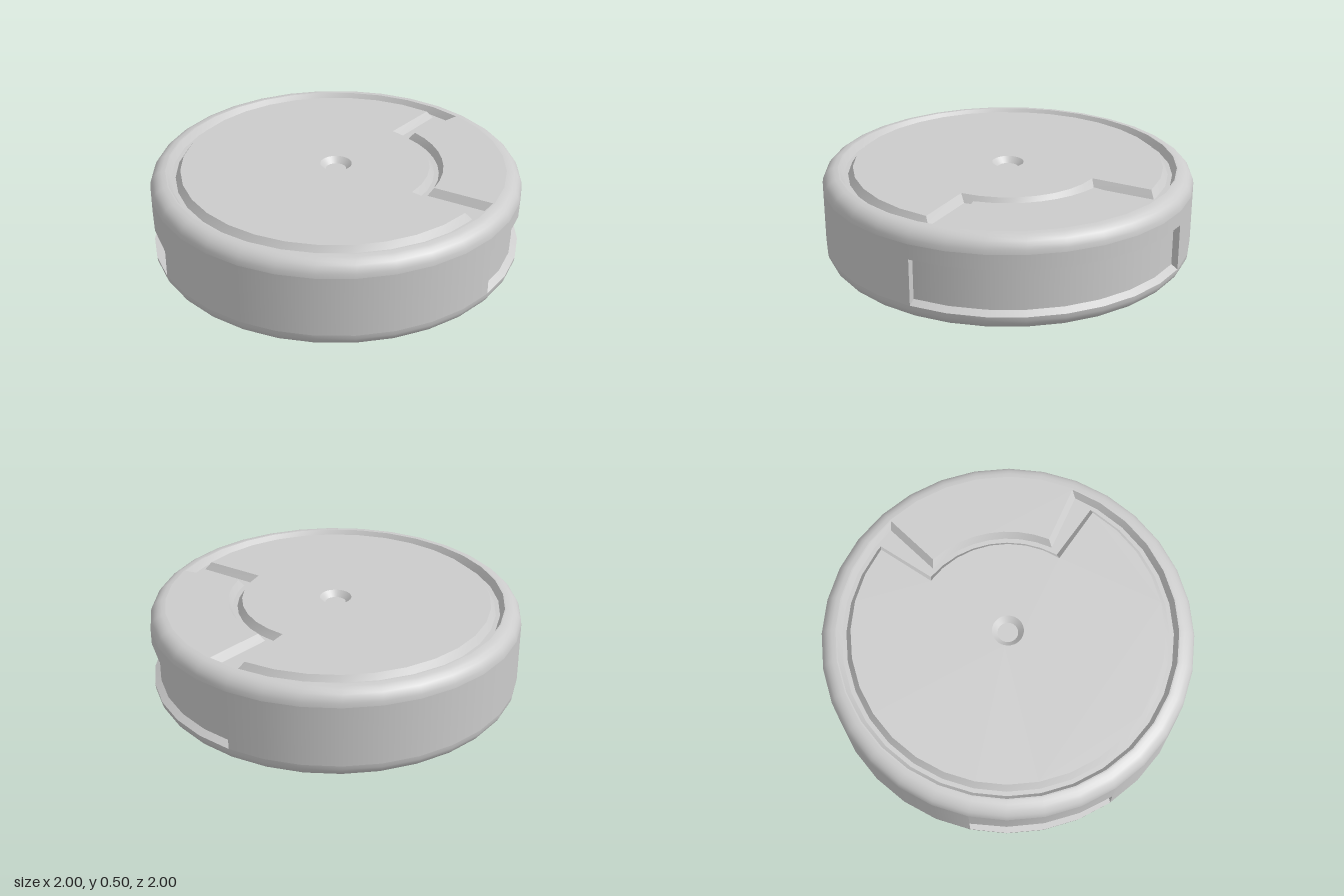
import * as THREE from 'three';
import { toCreasedNormals } from 'three/addons/utils/BufferGeometryUtils.js';

const STEP = Math.PI / 16; // 32-sided disc
const DEG = Math.PI / 180;
const H = 0.5, BEVEL = 0.085, GROOVE = 0.04;
const material = new THREE.MeshStandardMaterial({ color: 0xcccccc, side: THREE.DoubleSide });

export function createModel() {
  const model = new THREE.Group();
  const add = (name, geometry) => {
    const mesh = new THREE.Mesh(geometry, material);
    mesh.name = name;
    model.add(mesh);
  };

  // Turned surface between two angles, measured in steps from +z towards +x
  const turned = (profile, from = 0, to = 32) => new THREE.LatheGeometry(
    profile.map(([r, y]) => new THREE.Vector2(r, y)), to - from, from * STEP, (to - from) * STEP);

  // Surface joining rows of [x, y, z] points
  const sheet = (rows) => {
    const n = rows[0].length, index = [];
    for (let j = 0; j < rows.length - 1; j++) {
      for (let i = 0; i < n - 1; i++) {
        const a = j * n + i, b = a + n;
        index.push(a, a + 1, b, a + 1, b + 1, b);
      }
    }
    const g = new THREE.BufferGeometry();
    g.setAttribute('position', new THREE.Float32BufferAttribute(rows.flat(2), 3));
    g.setIndex(index);
    g.computeVertexNormals();
    return toCreasedNormals(g, 0.4);
  };

  // Horizontal face from [x, z] outlines
  const flat = (outline, holes, y) => {
    const toVec = (pts) => pts.map(([x, z]) => new THREE.Vector2(x, -z));
    const shape = new THREE.Shape(toVec(outline));
    holes.forEach((h) => shape.holes.push(new THREE.Path(toVec(h))));
    return new THREE.ShapeGeometry(shape).rotateX(-Math.PI / 2).translate(0, y, 0);
  };
  const polar = (r, a) => [r * Math.cos(a), r * Math.sin(a)];
  const circle = (r) => Array.from({ length: 32 }, (_, i) => polar(r, i * STEP));

  // Cover outline: a large arc with a bite taken out on the +x side
  const coverOutline = (rIn, aIn, rOut, aOut) => {
    const pts = [polar(rOut, aOut * DEG)];
    for (let i = 4; i <= 28; i++) pts.push(polar(rOut, i * STEP));
    pts.push(polar(rOut, -aOut * DEG));
    for (let i = -4; i <= 4; i++) pts.push(polar(rIn, (i / 4) * aIn * DEG));
    return pts;
  };
  const ring = (pts, y) => [...pts, pts[0]].map(([x, z]) => [x, y, z]);

  // Rounded top and bottom edges, and the underside
  const lowEdge = [], highEdge = [];
  for (let i = 0; i <= 6; i++) {
    const a = (i / 6) * Math.PI / 2;
    lowEdge.push([1 - BEVEL + BEVEL * Math.sin(a), BEVEL - BEVEL * Math.cos(a)]);
    highEdge.push([1 - BEVEL + BEVEL * Math.cos(a), H - BEVEL + BEVEL * Math.sin(a)]);
  }
  add('bottomEdge', turned(lowEdge));
  add('topEdge', turned(highEdge));
  add('underside', new THREE.CircleGeometry(1 - BEVEL, 32).rotateX(Math.PI / 2));

  // Side wall around the two openings
  const wallTop = H - BEVEL;
  add('wallFront', turned([[1, BEVEL], [1, wallTop]], 26, 36));
  add('wallBack', turned([[1, BEVEL], [1, wallTop]], 12, 22));
  add('wallAboveRecess', turned([[1, 0.335], [1, wallTop]], 4, 12));

  // Shallow chamfered recess on the +x side
  const recess = [[1, BEVEL], [0.965, 0.107], [0.965, 0.32], [1, 0.335]];
  ['recessSill', 'recessFloor', 'recessLintel'].forEach((name, i) =>
    add(name, turned([recess[i], recess[i + 1]], 4, 12)));
  for (const s of [1, -1]) {
    const [a, b, c, d] = recess.map(([r, y]) => [r * Math.SQRT1_2, y, s * r * Math.SQRT1_2]);
    add('recessEnd', sheet([[a, b], [d, c]]));
  }

  // Deep slot on the -x side, with a ceiling that slopes down inwards
  const BACK = -0.55;
  const ceiling = (x) => 0.257 - 0.29 * (1 + x);
  const mouth = [-2, -1, 0, 1, 2].map((i) => polar(-1, i * STEP));
  const mouthTop = mouth.map(([x, z]) => [x, ceiling(x), z]);
  const mouthLow = mouth.map(([x, z]) => [x, BEVEL, z]);
  const backTop = mouth.map(([, z]) => [BACK, ceiling(BACK), z]);
  const backLow = mouth.map(([, z]) => [BACK, BEVEL, z]);
  add('wallAboveSlot', sheet([mouthTop, mouth.map(([x, z]) => [x, wallTop, z])]));
  add('slotCeiling', sheet([mouthTop, backTop]));
  add('slotFloor', sheet([backLow, mouthLow]));
  add('slotBack', sheet([backTop, backLow]));
  for (const i of [0, 4]) add('slotEnd', sheet([[mouthLow[i], backLow[i]], [mouthTop[i], backTop[i]]]));

  // Top face: rim, groove with sloping walls, and cover
  const rimTop = coverOutline(0.578, 33.7, 0.908, 34.1);
  const rimLow = coverOutline(0.555, 36.5, 0.885, 35.9);
  const coverLow = coverOutline(0.53, 41.2, 0.862, 43);
  const coverTop = coverOutline(0.504, 44.5, 0.835, 44.8);
  add('rim', flat(circle(1 - BEVEL), [rimTop], H));
  add('grooveOuterWall', sheet([ring(rimTop, H), ring(rimLow, H - GROOVE)]));
  add('grooveFloor', flat(rimLow, [coverLow], H - GROOVE));
  add('grooveInnerWall', sheet([ring(coverLow, H - GROOVE), ring(coverTop, H)]));
  add('cover', flat(coverTop, [circle(0.085)], H));

  // Countersunk dimple in the middle of the cover
  add('dimpleWall', turned([[0.055, H - 0.03], [0.085, H]]));
  add('dimpleFloor', flat(circle(0.055), [], H - 0.03));

  return model;
}
